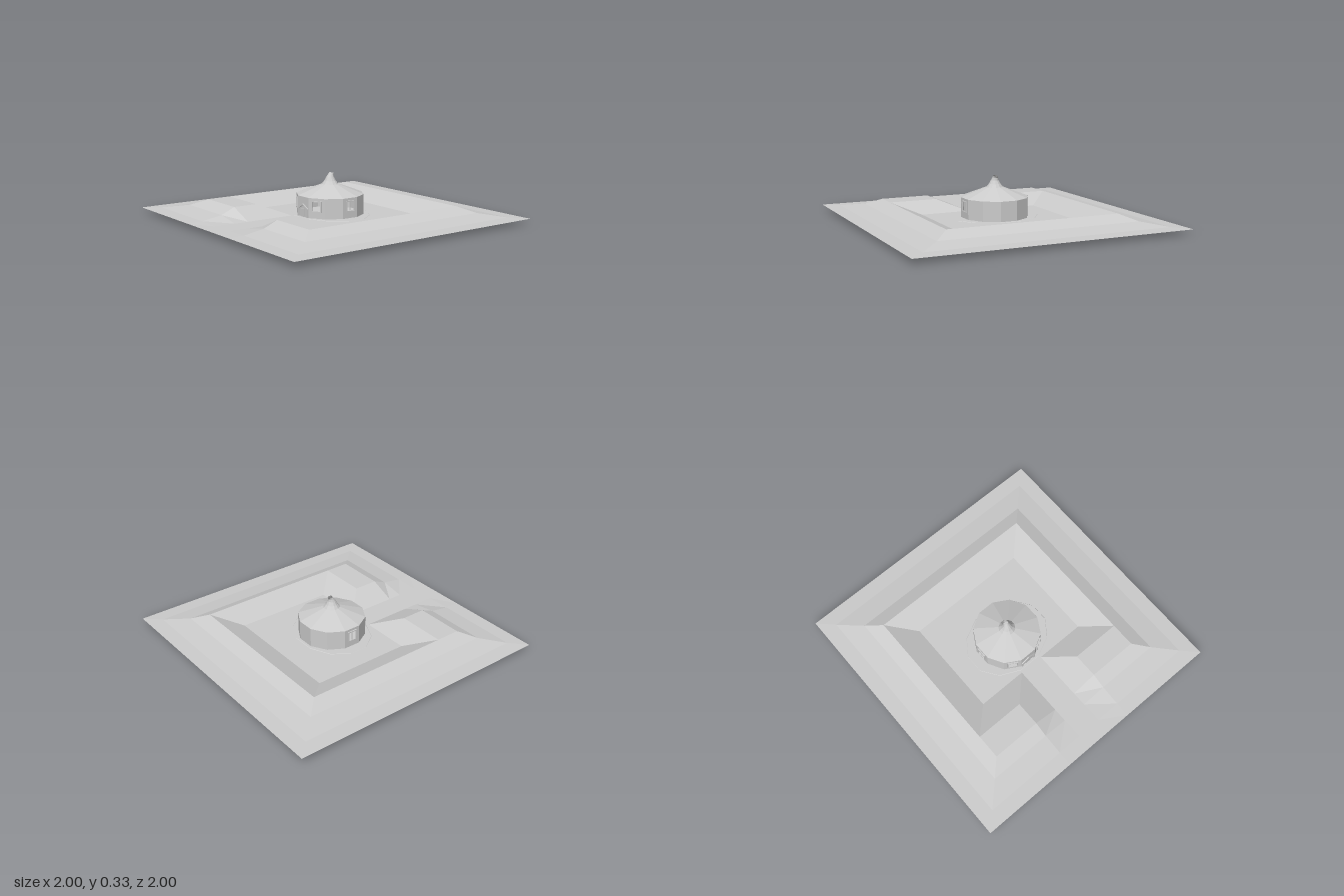
import * as THREE from 'three';

const GROUND = 0.035, BANK = 0.11, SIDES = 12, APOTHEM = 0.235;
const CIRCUM = APOTHEM / Math.cos(Math.PI / SIDES);

const stone = new THREE.MeshStandardMaterial({ color: 0xcccccc, flatShading: true, side: THREE.DoubleSide });
stone.name = 'paleGrey';

function add(parent, name, geometry) {
  const mesh = new THREE.Mesh(geometry, stone);
  mesh.name = name;
  parent.add(mesh);
  return mesh;
}

// Square earth bank with a level yard inside and a path cut through the front
function groundHeight(x, z) {
  const ax = Math.abs(x), d = Math.max(ax, Math.abs(z));
  if (z > 0.3 && ax < 0.1) return GROUND;
  if (d > 0.95) return GROUND;
  if (d > 0.8) return 0.04;
  if (d > 0.7) return 0.065;
  if (d > 0.6 || z > 0.4) return BANK;
  return GROUND;
}

function terrain() {
  const half = [0.091, 0.273, 0.455, 0.636, 0.74, 0.89, 1];
  const line = [...half.map(v => -v).reverse(), ...half];
  const n = line.length, pos = [], index = [];
  for (const z of line) for (const x of line) pos.push(x, groundHeight(x, z), z);
  for (let j = 0; j < n - 1; j++) {
    for (let i = 0; i < n - 1; i++) {
      const a = j * n + i, b = a + 1, c = a + n, d = c + 1;
      // Diagonals run towards the middle so that corners form clean hips
      const sameSign = (line[i] + line[i + 1]) * (line[j] + line[j + 1]) >= 0;
      if (sameSign) index.push(a, c, d, a, d, b);
      else index.push(a, c, b, b, c, d);
    }
  }
  const g = new THREE.BufferGeometry();
  g.setAttribute('position', new THREE.Float32BufferAttribute(pos, 3));
  g.setIndex(index);
  g.computeVertexNormals();
  return g;
}

function rectPath(PathType, w, y0, y1) {
  const p = new PathType();
  p.moveTo(-w, y0);
  p.lineTo(w, y0);
  p.lineTo(w, y1);
  p.lineTo(-w, y1);
  p.closePath();
  return p;
}

function doorShape(w, shoulder, peak) {
  const s = new THREE.Shape();
  s.moveTo(-w, GROUND);
  s.lineTo(w, GROUND);
  s.lineTo(w, shoulder);
  s.lineTo(0, peak);
  s.lineTo(-w, shoulder);
  s.closePath();
  return s;
}

const plate = (shape, depth) => new THREE.ExtrudeGeometry(shape, { depth, bevelEnabled: false });

export function createModel() {
  const model = new THREE.Group();
  model.name = 'hutInEarthwork';
  add(model, 'ground', terrain());

  // Oval footing that reaches below the ground
  const footing = new THREE.CylinderGeometry(1, 1, 0.037, SIDES);
  footing.rotateY(Math.PI / SIDES);
  const fp = footing.attributes.position, k = 1 / Math.cos(Math.PI / SIDES);
  for (let i = 0; i < fp.count; i++) {
    const top = fp.getY(i) > 0;
    fp.setX(i, fp.getX(i) * k * (top ? 0.31 : 0.345));
    fp.setZ(i, fp.getZ(i) * k * (top ? 0.253 : 0.32));
  }
  footing.translate(0, 0.0185, 0);
  add(model, 'footing', footing);

  // Twelve wall panels; some have open windows, the front one has the door
  const hut = new THREE.Group();
  hut.name = 'hut';
  model.add(hut);
  const halfWall = CIRCUM * Math.sin(Math.PI / SIDES);
  const windows = [1, 3, 9, 11];
  for (let i = 0; i < SIDES; i++) {
    const side = new THREE.Group();
    side.name = 'wallSide' + i;
    side.rotation.y = i * 2 * Math.PI / SIDES;
    hut.add(side);
    const wall = rectPath(THREE.Shape, halfWall, 0.03, 0.18);
    if (windows.includes(i)) {
      wall.holes.push(rectPath(THREE.Path, 0.031, 0.09, 0.155));
      const frame = rectPath(THREE.Shape, 0.038, 0.083, 0.162);
      frame.holes.push(rectPath(THREE.Path, 0.031, 0.09, 0.155));
      add(side, 'windowFrame', plate(frame, 0.009)).position.z = APOTHEM;
      if (i === 3 || i === 9) {
        const bar = add(side, 'windowBar', new THREE.BoxGeometry(0.006, 0.065, 0.006));
        bar.position.set(0, 0.1225, APOTHEM);
      }
    }
    add(side, 'wall', new THREE.ShapeGeometry(wall)).position.z = APOTHEM;
    if (i === 0) {
      const frame = doorShape(0.06, 0.1, 0.132);
      frame.holes.push(doorShape(0.048, 0.094, 0.119));
      add(side, 'doorFrame', plate(frame, 0.008)).position.z = APOTHEM;
      for (const s of [-1, 1]) {
        const leaf = add(side, 'doorLeaf', new THREE.BoxGeometry(0.022, 0.06, 0.004));
        leaf.position.set(s * 0.012, GROUND + 0.03, APOTHEM + 0.002);
      }
    }
  }

  // Shallow faceted roof
  const roof = new THREE.CylinderGeometry(0.06, CIRCUM, 0.07, SIDES, 1, true);
  roof.rotateY(Math.PI / SIDES);
  roof.translate(0, 0.215, 0);
  add(hut, 'roof', roof);

  // Open chimney that tapers and bends backwards: y, radius, z shift
  const rings = [[0.333, 0.017, -0.014], [0.315, 0.021, -0.005], [0.298, 0.028, 0], [0.273, 0.042, 0], [0.25, 0.06, 0]];
  const chimney = new THREE.CylinderGeometry(1, 1, 1, SIDES, rings.length - 1, true);
  chimney.rotateY(Math.PI / SIDES);
  const cp = chimney.attributes.position;
  for (let i = 0; i < cp.count; i++) {
    const [y, r, shift] = rings[Math.floor(i / (SIDES + 1))];
    const tilt = y > 0.32 ? 0.25 * r * cp.getZ(i) : 0;
    cp.setXYZ(i, cp.getX(i) * r, y + tilt - (y > 0.32 ? 0.004 : 0), cp.getZ(i) * r + shift);
  }
  add(hut, 'chimney', chimney);

  return model;
}
